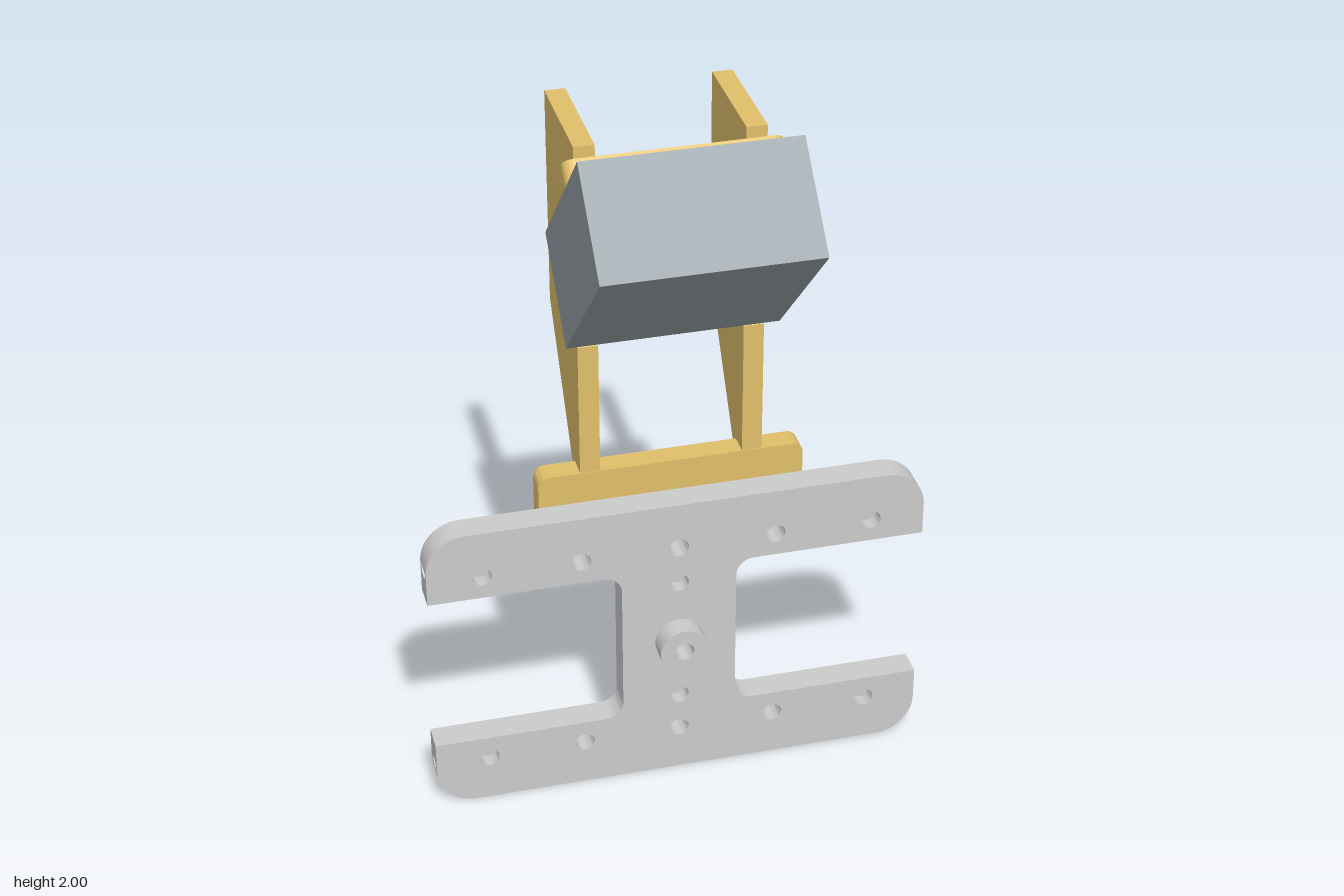
import * as THREE from 'three';
import { toCreasedNormals } from 'three/addons/utils/BufferGeometryUtils.js';

const grey = new THREE.MeshStandardMaterial({ color: 0xcccccc });
const tan = new THREE.MeshStandardMaterial({ color: 0xe0bf6a });
const slate = new THREE.MeshStandardMaterial({ color: 0x959fa5 });
const R = 0.027; // screw hole radius

function mesh(name, geometry, material, parent) {
  const m = new THREE.Mesh(geometry, material);
  m.name = name;
  parent.add(m);
  return m;
}

// Extrude a shape from z0 to z1, with round holes given as [x, y, radius]
function plate(shape, z0, z1, holes = []) {
  const s = shape.clone();
  for (const [x, y, r = R] of holes) s.holes.push(new THREE.Path().absarc(x, y, r, 0, Math.PI * 2, true));
  const g = new THREE.ExtrudeGeometry(s, { depth: z1 - z0, bevelEnabled: false, curveSegments: 12 });
  g.translate(0, 0, z0);
  return toCreasedNormals(g, 0.6);
}

// Rectangle centred on (0, cy) with rounded corners
function roundRect(w, h, r, cy = 0) {
  const s = new THREE.Shape(), x = w / 2 - r, y = h / 2 - r, q = Math.PI / 2;
  s.absarc(x, cy + y, r, 0, q);
  s.absarc(-x, cy + y, r, q, 2 * q);
  s.absarc(-x, cy - y, r, 2 * q, 3 * q);
  s.absarc(x, cy - y, r, 3 * q, 4 * q);
  s.closePath();
  return s;
}

function buildFrame() {
  const frame = new THREE.Group();
  frame.name = 'frame';
  frame.position.y = 0.4425;
  const q = Math.PI / 2, H = 0.4425, B = 0.2375, X = 0.58, f = 0.05, sx = 0.16;

  // H-shaped core with filleted inner corners
  const core = new THREE.Shape();
  core.moveTo(-X, -H);
  core.lineTo(X, -H);
  core.lineTo(X, -B);
  core.absarc(sx + f, -B + f, f, -q, -2 * q, true);
  core.absarc(sx + f, B - f, f, 2 * q, q, true);
  core.lineTo(X, B);
  core.lineTo(X, H);
  core.lineTo(-X, H);
  core.lineTo(-X, B);
  core.absarc(-sx - f, B - f, f, q, 0, true);
  core.absarc(-sx - f, -B + f, f, 0, -q, true);
  core.lineTo(-X, -B);
  core.closePath();

  // Through holes pierce both layers, blind holes only the front one
  const through = [], blind = [[0, 0, R]];
  for (const s of [-1, 1]) {
    for (const x of [-0.27, 0, 0.27]) through.push([x, s * 0.305]);
    for (const x of [-0.54, 0.54]) blind.push([x, s * 0.305]);
    blind.push([0, s * 0.19]);
  }
  mesh('frameFront', plate(core, 0, 0.04, [...through, ...blind]), grey, frame);
  mesh('frameBack', plate(core, -0.04, 0, through), grey, frame);

  // Rounded bar ends with a screw hole in the end face
  const section = new THREE.Shape([[-0.04, B], [0.04, B], [0.04, H], [-0.04, H]].map(p => new THREE.Vector2(...p)));
  section.holes.push(new THREE.Path().absarc(0, 0.3325, R + 0.002, 0, Math.PI * 2, true));
  const end = new THREE.ExtrudeGeometry(section, { depth: 1, steps: 12, bevelEnabled: false, curveSegments: 8 });
  const p = end.attributes.position;
  for (let i = 0; i < p.count; i++) {
    const a = p.getZ(i) * q;
    p.setY(i, Math.min(p.getY(i), 0.3325 + 0.11 * Math.cos(a)));
    p.setZ(i, X + 0.11 * Math.sin(a));
  }
  end.rotateY(q);
  const endGeometry = toCreasedNormals(end, 0.6);
  const turns = { topLeft: [0, 0, 0], topRight: [0, Math.PI, 0], bottomLeft: [Math.PI, 0, 0], bottomRight: [0, 0, Math.PI] };
  for (const [name, turn] of Object.entries(turns)) {
    mesh(name + 'BarEnd', endGeometry, grey, frame).rotation.set(...turn);
  }

  // Centre boss on the front
  const disc = new THREE.Shape().absarc(0, 0, 0.068, 0, Math.PI * 2);
  mesh('centreBoss', plate(disc, 0.04, 0.1, [[0, 0, R]]), grey, frame);

  // Small pad on the back of the lower bar
  const pad = roundRect(0.42, 0.165, 0.025, -H + 0.0825);
  mesh('rearPad', plate(pad, -0.092, -0.04, [[-0.105, -0.36], [0.105, -0.36]]), grey, frame);
  return frame;
}

function buildBracket() {
  const bracket = new THREE.Group();
  bracket.name = 'bracket';

  // Base plate with counterbored holes
  const base = roundRect(0.73, 0.205, 0.03, 0.8725);
  const holes = r => [[-0.27, 0.855, r], [0.27, 0.855, r]];
  mesh('baseFront', plate(base, -0.075, -0.042, holes(R)), tan, bracket);
  mesh('baseBack', plate(base, -0.107, -0.075, holes(0.043)), tan, bracket);

  // Side arms: profile as [z, y], notched for the tilted block
  const profile = [[-0.045, 0.9], [-0.1, 0.9], [-0.107, 0.91], [-0.378, 1.325], [-0.378, 1.935],
    [-0.045, 1.935], [-0.045, 1.8], [-0.26, 1.585], [-0.045, 1.36]];
  const shape = new THREE.Shape(profile.map(([z, y]) => new THREE.Vector2(-z, y)));
  for (const [name, x] of [['leftArm', 0.195], ['rightArm', -0.25]]) {
    const g = plate(shape, 0, 0.055);
    g.rotateY(Math.PI / 2);
    mesh(name, g, tan, bracket).position.x = x;
  }
  return bracket;
}

function buildHead() {
  // Local +z points up and back, local y runs along the block's back face
  const head = new THREE.Group();
  head.name = 'tiltedHead';
  head.position.set(0, 1.8, -0.042);
  head.rotation.set(-Math.PI * 0.75, 0, 0);
  const block = mesh('block', new THREE.BoxGeometry(0.57, 0.568, 0.314), slate, head);
  block.position.set(0, 0, -0.157);
  const strap = roundRect(0.57, 0.22, 0.03);
  mesh('mountingStrap', plate(strap, 0, 0.063, [[-0.135, 0], [0.135, 0]]), tan, head);
  return head;
}

export function createModel() {
  const model = new THREE.Group();
  model.name = 'bracketAssembly';
  model.add(buildFrame(), buildBracket(), buildHead());
  return model;
}
